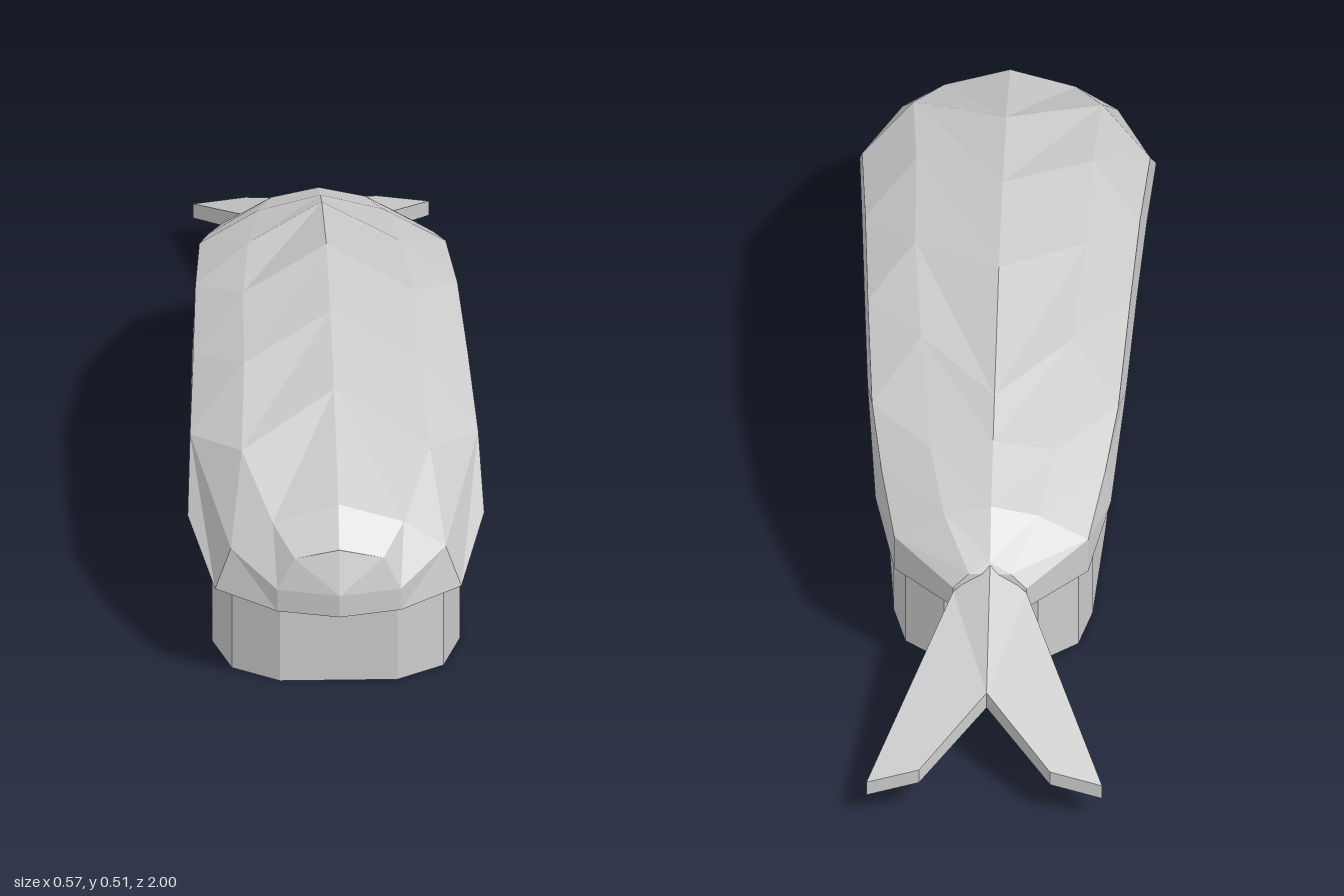
import * as THREE from 'three';

const material = new THREE.MeshStandardMaterial({ color: 0xcccccc, flatShading: true });

// Collects triangles given on the +x half and mirrors each one across x = 0
function mirroredMesh(name, build) {
  const positions = [];
  const flip = ([x, y, z]) => [-x, y, z];
  const tri = (a, b, c) => positions.push(...a, ...b, ...c, ...flip(a), ...flip(c), ...flip(b));
  const quad = (a, b, c, d) => { tri(a, b, c); tri(a, c, d); };
  build(tri, quad);
  const geometry = new THREE.BufferGeometry();
  geometry.setAttribute('position', new THREE.Float32BufferAttribute(positions, 3));
  geometry.computeVertexNormals();
  const mesh = new THREE.Mesh(geometry, material);
  mesh.name = name;
  return mesh;
}

// Half cross-sections from nose to tail: lower rim, side, shoulder, ridge
const sections = [
  [[0, 0.172, 1], [0, 0.217, 1], [0, 0.298, 0.97], [0, 0.3, 0.97]],
  [[0.118, 0.172, 0.97], [0.118, 0.217, 0.97], [0.085, 0.28, 0.965], [0, 0.3, 0.97]],
  [[0.235, 0.187, 0.9], [0.205, 0.272, 0.9], [0.125, 0.325, 0.9], [0, 0.363, 0.9]],
  [[0.283, 0.265, 0.74], [0.275, 0.375, 0.61], [0.18, 0.402, 0.74], [0, 0.467, 0.61]],
  [[0.272, 0.32, 0.48], [0.262, 0.418, 0.35], [0.168, 0.462, 0.48], [0, 0.505, 0.35]],
  [[0.26, 0.345, 0.2], [0.25, 0.428, 0.07], [0.163, 0.474, 0.2], [0, 0.512, 0.07]],
  [[0.247, 0.33, -0.07], [0.235, 0.385, -0.2], [0.145, 0.449, -0.07], [0, 0.446, -0.25]],
  [[0.225, 0.265, -0.34], [0.214, 0.337, -0.34], [0.12, 0.385, -0.34], [0, 0.412, -0.35]],
  [[0.185, 0.21, -0.49], [0.185, 0.285, -0.49], [0.09, 0.34, -0.49], [0, 0.36, -0.49]],
  [[0.07, 0.195, -0.59], [0.07, 0.24, -0.59], [0.04, 0.27, -0.585], [0, 0.288, -0.57]],
  [[0, 0.195, -0.59], [0, 0.24, -0.59], [0, 0.27, -0.585], [0, 0.288, -0.57]],
];

// Height of the underside of the topping at a given z
function rimHeight(z) {
  for (let i = 0; i < sections.length - 2; i++) {
    const [, y0, z0] = sections[i][0], [, y1, z1] = sections[i + 1][0];
    if (z <= z0 && z >= z1) return y0 + (y1 - y0) * (z0 - z) / (z0 - z1);
  }
  return 0.2;
}

// Arched rice block: an outline extruded to the height of the topping's rim
function riceBlock() {
  const side = [[0.112, 0.92], [0.202, 0.86], [0.237, 0.74], [0.23, 0.48], [0.22, 0.2],
    [0.208, -0.07], [0.19, -0.34], [0.165, -0.44], [0.09, -0.5]];
  const outline = [...side, ...side.map(([x, z]) => [-x, z]).reverse()];
  const shape = new THREE.Shape(outline.map(([x, z]) => new THREE.Vector2(x, -z)));
  const geometry = new THREE.ExtrudeGeometry(shape, { depth: 1, bevelEnabled: false });
  geometry.rotateX(-Math.PI / 2);
  const p = geometry.attributes.position;
  for (let i = 0; i < p.count; i++) {
    p.setY(i, p.getY(i) > 0.5 ? rimHeight(p.getZ(i)) + 0.008 : 0);
  }
  geometry.computeVertexNormals();
  const mesh = new THREE.Mesh(geometry, material);
  mesh.name = 'riceBlock';
  return mesh;
}

export function createModel() {
  const group = new THREE.Group();
  group.name = 'prawnSushi';
  group.add(riceBlock());

  // Arched faceted body, closed along its underside
  group.add(mirroredMesh('prawnBody', (tri, quad) => {
    const rings = sections.map((s) => [[0, s[0][1], s[0][2]], ...s]);
    for (let i = 0; i < rings.length - 1; i++) {
      for (let j = 0; j < 4; j++) {
        quad(rings[i][j], rings[i + 1][j], rings[i + 1][j + 1], rings[i][j + 1]);
      }
    }
  }));

  // Forked tail: a thin sloping fin on each side of a central notch
  group.add(mirroredMesh('tail', (tri, quad) => {
    const top = [[0, 0.285, -0.57], [0.07, 0.235, -0.595], [0.225, 0.08, -1],
      [0.125, 0.1, -0.985], [0, 0.17, -0.83]];
    const drop = [0.07, 0.038, 0.03, 0.03, 0.035];
    const low = top.map(([x, y, z], i) => [x, y - drop[i], z]);
    for (const [a, b, c] of [[0, 1, 4], [1, 2, 4], [2, 3, 4]]) {
      tri(top[a], top[b], top[c]);
      tri(low[a], low[c], low[b]);
    }
    for (let i = 1; i < 4; i++) quad(top[i], low[i], low[i + 1], top[i + 1]);
  }));
  return group;
}
